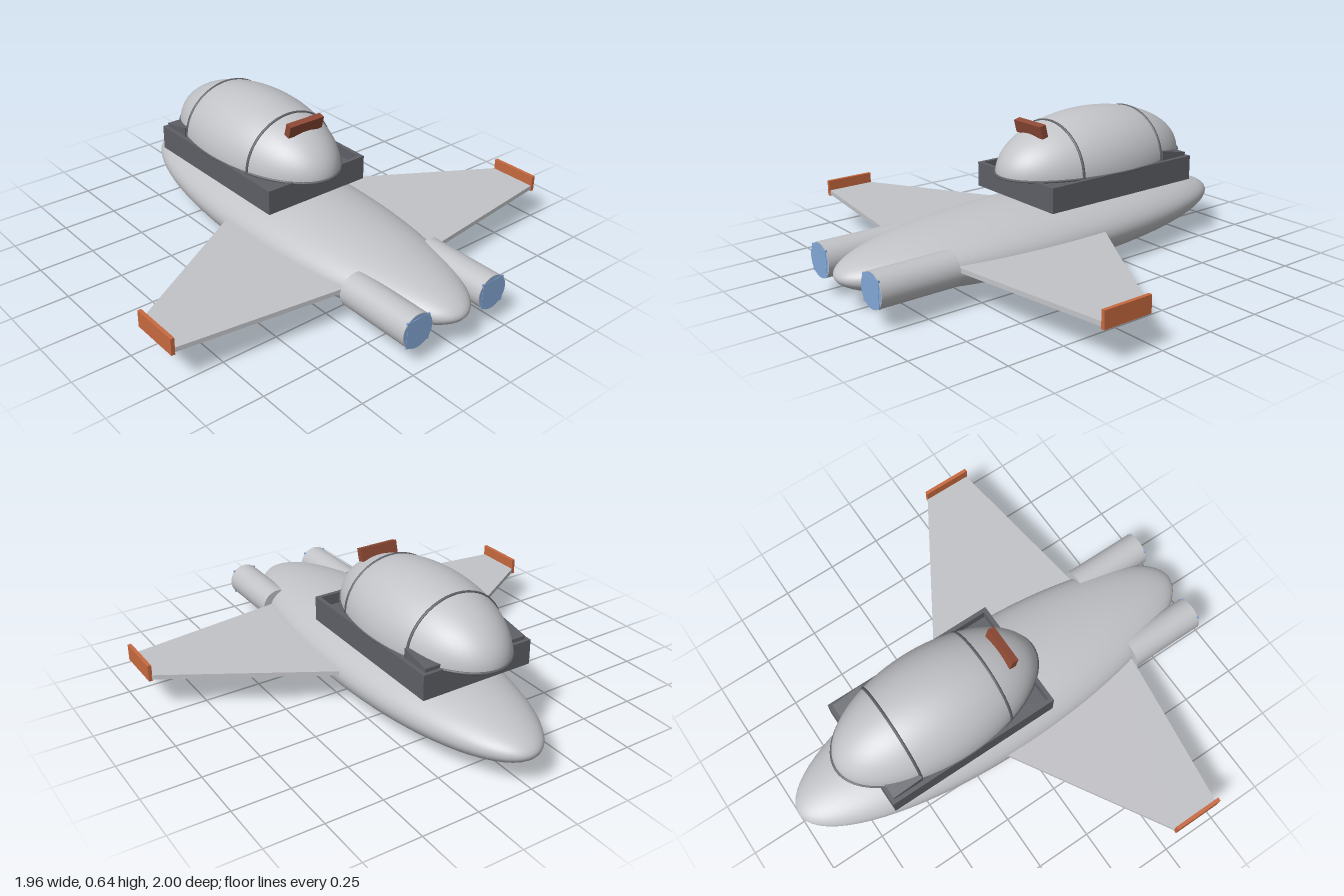
import * as THREE from 'three';

const material = (name, color, side = THREE.FrontSide) => {
  const m = new THREE.MeshStandardMaterial({ color, side });
  m.name = name;
  return m;
};

export function createModel() {
  const model = new THREE.Group();
  model.name = 'spacecraft';
  const hull = material('light grey', 0xc2c3c7, THREE.DoubleSide);
  const dark = material('dark grey', 0x5e6066);
  const orange = material('orange', 0xc86a40);
  const brick = material('brick', 0x8f4a36);
  const blue = material('blue', 0x84a8d8);

  const add = (name, geometry, mat, x = 0, y = 0, z = 0, parent = model) => {
    const mesh = new THREE.Mesh(geometry, mat);
    mesh.name = name;
    mesh.position.set(x, y, z);
    parent.add(mesh);
    return mesh;
  };
  const box = (w, h, d) => new THREE.BoxGeometry(w, h, d);

  // Ellipsoid fuselage, poles fore and aft
  add('fuselage', new THREE.SphereGeometry(1, 64, 40).rotateX(Math.PI / 2).scale(0.304, 0.149, 1), hull, 0, 0.153, 0);

  for (const s of [1, -1]) {
    const side = s > 0 ? 'left' : 'right';

    // Flat swept wing; shape y becomes z
    const outline = new THREE.Shape([[0, -0.29], [0.965, 0.29], [0.965, 0.51], [0, 0.637]]
      .map(([x, z]) => new THREE.Vector2(s * x, z)));
    const wing = new THREE.ExtrudeGeometry(outline, { depth: 0.02, bevelEnabled: false }).rotateX(Math.PI / 2);
    add(side + 'Wing', wing, hull, 0, 0.178, 0);
    add(side + 'WingTip', box(0.016, 0.073, 0.224), orange, s * 0.97, 0.188, 0.402);

    // Engine with a glowing front plate
    const engine = new THREE.Group();
    engine.name = side + 'Engine';
    engine.position.set(s * 0.2, 0.161, 0);
    model.add(engine);
    add('engineTube', new THREE.CylinderGeometry(0.075, 0.075, 0.35, 32).rotateX(Math.PI / 2), hull, 0, 0, 0.787, engine);
    add('engineDisc', new THREE.CircleGeometry(0.073, 32), blue, 0, 0, 0.9635, engine);
    add('enginePlate', box(0.114, 0.114, 0.008), blue, 0, 0, 0.961, engine);
  }

  // Cockpit tray: floor and four walls
  const tray = new THREE.Group();
  tray.name = 'cockpitTray';
  tray.position.set(0, 0.3, -0.255);
  model.add(tray);
  add('trayFloor', box(0.51, 0.06, 0.79), dark, 0, 0.031, 0, tray);
  for (const s of [1, -1]) {
    add('traySideWall', box(0.018, 0.109, 0.8), dark, s * 0.249, 0.0545, 0, tray);
    add('trayEndWall', box(0.48, 0.109, 0.018), dark, 0, 0.0545, s * 0.391, tray);
  }

  // Sloping console at the rear of the tray; its corners show beside the canopy
  const profile = new THREE.Shape([[0.5, 0.35], [0.64, 0.35], [0.64, 0.425], [0.5, 0.45]]
    .map(([z, y]) => new THREE.Vector2(z, y)));
  const consoleGeo = new THREE.ExtrudeGeometry(profile, { depth: 0.48, bevelEnabled: false })
    .translate(0, 0, -0.24).rotateY(Math.PI / 2);
  add('console', consoleGeo, dark);

  // Half-ellipsoid canopy with rim and two hoops
  const cy = 0.405, cz = -0.28, rx = 0.257, ry = 0.237, rz = 0.488;
  add('canopy', new THREE.SphereGeometry(1, 64, 24, 0, Math.PI * 2, 0, Math.PI / 2).scale(rx, ry, rz), hull, 0, cy, cz);
  const rim = new THREE.TorusGeometry(1, 0.018, 8, 64).rotateX(Math.PI / 2).scale(rx, 0.3, rz);
  add('canopyRim', rim, dark, 0, cy, cz);
  for (const z of [-0.05, -0.5]) {
    const f = Math.sqrt(1 - ((z - cz) / rz) ** 2);
    const hoop = new THREE.TorusGeometry(1, 0.024, 8, 48, Math.PI).scale(rx * f, ry * f, 0.27);
    add('canopyHoop', hoop, dark, 0, cy, z);
  }

  // Tilted plate on the front of the canopy
  add('canopyPlate', box(0.178, 0.056, 0.03), brick, 0, 0.596, 0.053).rotation.x = 0.25;

  return model;
}
